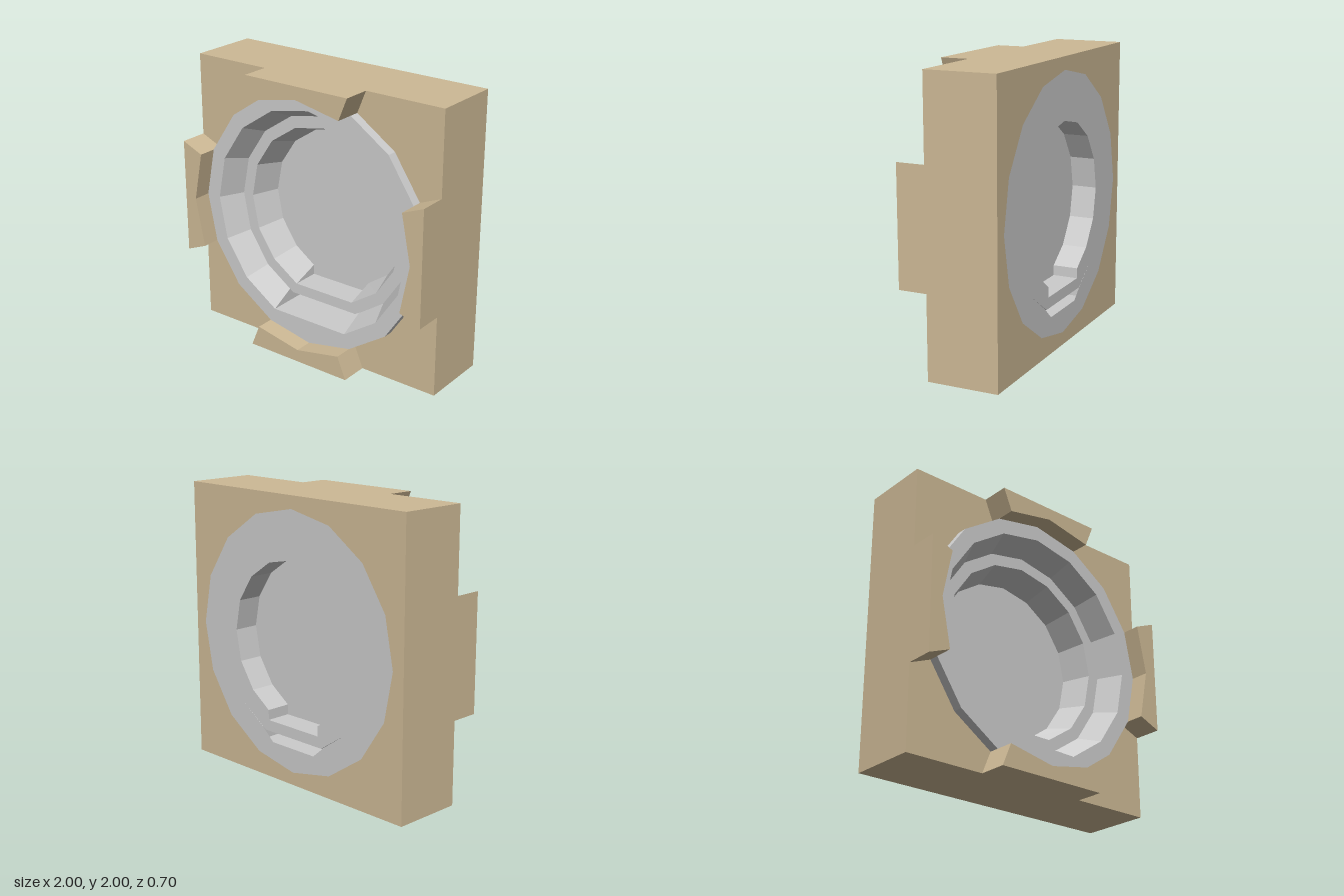
import * as THREE from 'three';

const SIDES = 16, BACK = -0.35, FACE = 0.15;
const vertex = (r, k) => {
  const a = -Math.PI / 2 + (k * 2 * Math.PI) / SIDES;
  return [r * Math.cos(a), r * Math.sin(a)];
};

// 17-point outline, counterclockwise from the bottom right corner.
// "corner" is the end of the bottom edge, "first" the lowest side point; both are mirrored.
function outline(r, corner = vertex(r, 1), first = vertex(r, 1)) {
  const pts = [corner, first];
  for (let k = 2; k < SIDES - 1; k++) pts.push(vertex(r, k));
  pts.push([-first[0], first[1]], [-corner[0], corner[1]]);
  return pts;
}

// Skin a closed sequence of [outline, z] sections into a ring.
function ringGeometry(sections) {
  const pos = [];
  const tri = (...p) => {
    const [a, b, c] = p.map((q) => new THREE.Vector3(...q));
    if (b.sub(a).cross(c.sub(a)).length() > 1e-7) p.forEach((q) => pos.push(...q));
  };
  sections.forEach(([pa, za], s) => {
    const [pb, zb] = sections[(s + 1) % sections.length];
    for (let i = 0; i < pa.length; i++) {
      const j = (i + 1) % pa.length;
      const a0 = [...pa[i], za], a1 = [...pa[j], za];
      const b0 = [...pb[i], zb], b1 = [...pb[j], zb];
      if (i < pa.length / 2) { // diagonals mirror about the centre line
        tri(a0, a1, b0); tri(a1, b1, b0);
      } else {
        tri(a0, a1, b1); tri(a0, b1, b0);
      }
    }
  });
  const g = new THREE.BufferGeometry();
  g.setAttribute('position', new THREE.Float32BufferAttribute(pos, 3));
  g.computeVertexNormals();
  return g;
}

const toVectors = (pts) => pts.map((p) => new THREE.Vector2(...p));
function slab(pts, z0, z1, hole) {
  const shape = new THREE.Shape(toVectors(pts));
  if (hole) shape.holes.push(new THREE.Path(toVectors(hole)));
  return new THREE.ExtrudeGeometry(shape, { depth: z1 - z0, bevelEnabled: false }).translate(0, 0, z0);
}

export function createModel() {
  const model = new THREE.Group();
  model.name = 'portholeBlock';
  const tan = new THREE.MeshStandardMaterial({ color: 0xcdb995, flatShading: true });
  const grey = new THREE.MeshStandardMaterial({ color: 0xcccccc, flatShading: true });
  const add = (name, geometry, material) => {
    const mesh = new THREE.Mesh(geometry, material);
    mesh.name = name;
    mesh.position.y = 1;
    model.add(mesh);
    return mesh;
  };

  // Square block with a sixteen-sided opening
  const R = 0.91;
  const opening = Array.from({ length: SIDES }, (_, k) => vertex(R, k));
  add('block', slab([[-1, -1], [1, -1], [1, 1], [-1, 1]], BACK, FACE, opening), tan);

  // Four raised lugs, one on each side of the front
  const lug = [[-0.414, 1], vertex(R, 9), vertex(R, 8), vertex(R, 7), [0.414, 1]];
  const lugGeometry = slab(lug, FACE, 0.35);
  ['topLug', 'leftLug', 'bottomLug', 'rightLug'].forEach((name, i) => {
    add(name, lugGeometry, tan).rotation.z = (-i * Math.PI) / 2;
  });

  // Outer ring: tapered mouth, then a straight bore with a slot at the bottom
  const rim = outline(R, [0, -R]);
  const bore = outline(0.72, [0.306, -0.739], [0.306, -0.648]);
  add('outerRing', ringGeometry([
    [rim, BACK], [rim, 0.22], [outline(0.8), 0.22], [bore, 0.05], [bore, BACK],
  ]), grey);

  // Inner ring: stepped back, with a tapered opening and flat sill
  const seat = outline(0.72);
  const window = outline(0.57, [0.243, -0.587], [0.243, -0.515]);
  add('innerRing', ringGeometry([
    [seat, BACK], [seat, 0.05], [outline(0.635), 0.05], [window, -0.15], [window, BACK],
  ]), grey);

  // Thin pane closing the window
  add('pane', slab(window, -0.17, -0.15), grey);
  return model;
}
